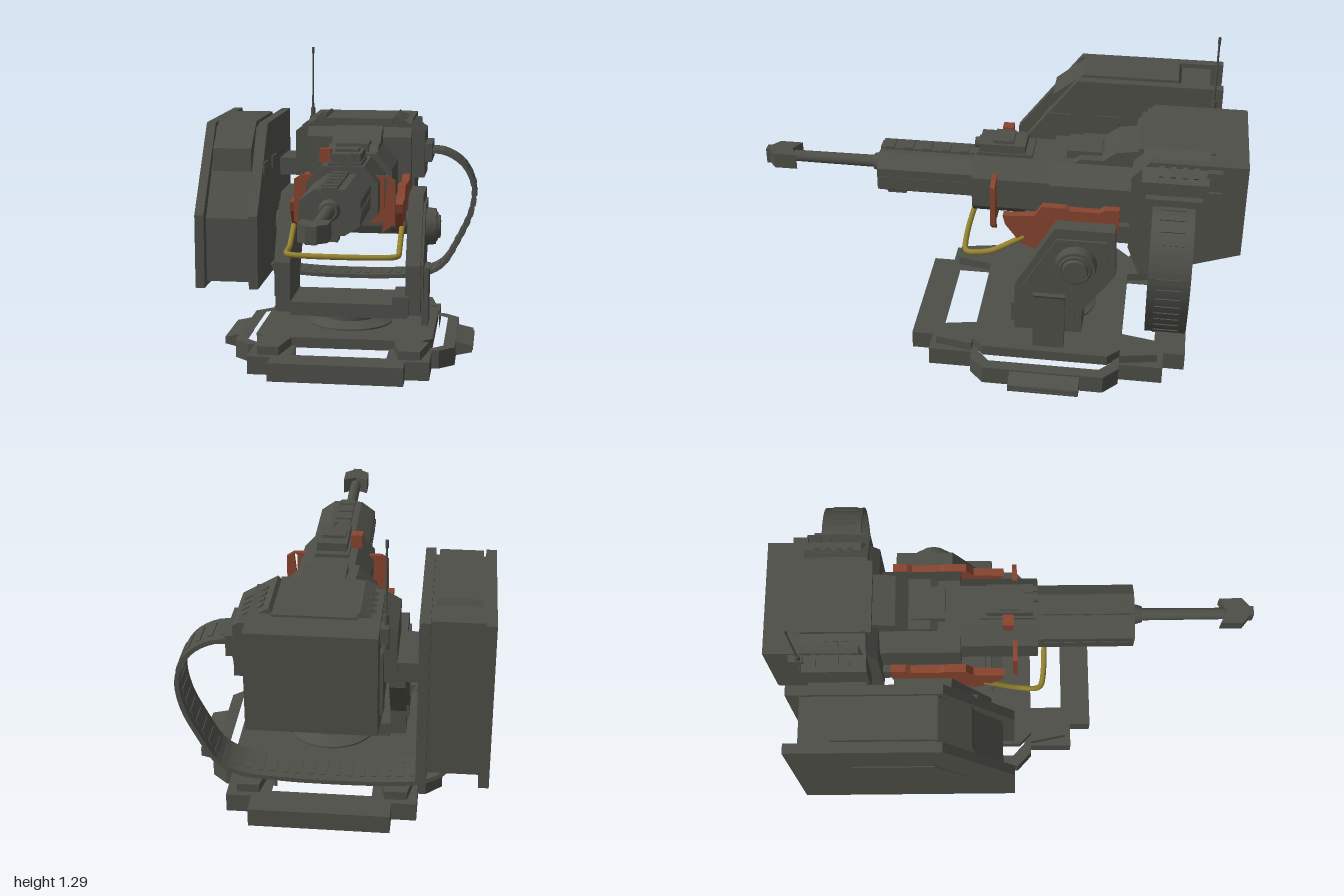
import * as THREE from 'three';

const CX = 0.0525, CZ = -0.235; // turret axis and base centre

export function createModel() {
  const root = new THREE.Group();
  root.name = 'mountedTurret';
  const mat = (name, color) => {
    const m = new THREE.MeshStandardMaterial({ color });
    m.name = name;
    return m;
  };
  const grey = mat('gunmetal grey', 0x4f4f49);
  const red = mat('rust red', 0x884530);
  const yellow = mat('handle yellow', 0x94822f);

  const add = (name, geo, m = grey) => {
    const mesh = new THREE.Mesh(geo, m);
    mesh.name = name;
    root.add(mesh);
    return mesh;
  };
  const box = (name, x0, x1, y0, y1, z0, z1, m) => add(name,
    new THREE.BoxGeometry(x1 - x0, y1 - y0, z1 - z0).translate((x0 + x1) / 2, (y0 + y1) / 2, (z0 + z1) / 2), m);
  const toShape = (pts, hole) => {
    const s = new THREE.Shape(pts.map(p => new THREE.Vector2(...p)));
    if (hole) s.holes.push(new THREE.Path(hole.map(p => new THREE.Vector2(...p))));
    return s;
  };
  const extrude = (pts, depth, hole) => new THREE.ExtrudeGeometry(toShape(pts, hole), { depth, bevelEnabled: false });
  // side profile (z, y) swept in x; plan (x, z) swept in y; front outline (x, y) swept in z
  const sweepX = (name, pts, x0, x1, m) => add(name, extrude(pts, x1 - x0).rotateY(-Math.PI / 2).translate(x1, 0, 0), m);
  const sweepY = (name, pts, y0, y1, hole) => add(name, extrude(pts, y1 - y0, hole).rotateX(Math.PI / 2).translate(0, y1, 0));
  const sweepZ = (name, pts, z0, z1, m) => add(name, extrude(pts, z1 - z0).translate(0, 0, z0), m);
  // mirror half an outline about the turret axis
  const mirrorX = half => [...half.map(([x, y]) => [CX + x, y]), ...half.slice().reverse().map(([x, y]) => [CX - x, y])];
  const mirrorXZ = q => {
    const half = [...q.map(([x, z]) => [x, CZ + z]).reverse(), ...q.map(([x, z]) => [x, CZ - z])];
    return mirrorX(half);
  };
  const cyl = (name, r0, r1, len, sides, axis, x, y, z, m) => {
    const g = new THREE.CylinderGeometry(r1, r0, len, sides);
    if (axis === 'x') g.rotateZ(-Math.PI / 2);
    if (axis === 'z') g.rotateX(Math.PI / 2);
    return add(name, g.translate(x, y, z), m);
  };

  // Base: notched frame, deck and corner blocks
  sweepY('baseFrame', mirrorXZ([[0.475, 0.25], [0.41, 0.31], [0.38, 0.31], [0.38, 0.49], [0.28, 0.49], [0.28, 0.58]]), 0, 0.078,
    mirrorXZ([[0.425, 0.23], [0.37, 0.28], [0.2, 0.31], [0.2, 0.45]]));
  sweepY('baseDeck', mirrorXZ([[0.38, 0.26], [0.33, 0.31]]), 0.07, 0.115);
  for (const sx of [-1, 1]) {
    for (const sz of [-1, 1]) {
      const block = [[0.22, 0.31], [0.37, 0.31], [0.34, 0.465], [0.25, 0.465]].map(([x, z]) => [CX + sx * x, CZ + sz * z]);
      sweepY('cornerBlock', block, 0.07, 0.115);
    }
    const xa = CX + sx * 0.47, xb = CX + sx * 0.545;
    sweepZ('sideStep', [[xa, 0.008], [xb, 0.025], [xb, 0.055], [xa, 0.072]], -0.39, -0.1);
    for (const y of [0.03, 0.045]) box('stepRib', xb - 0.004, xb + 0.004, y, y + 0.006, -0.37, -0.12);
  }

  // Turntable above the deck and its boss below
  const ring = new THREE.LatheGeometry([[0, 0.025], [0.09, 0.025], [0.15, 0.06], [0.15, 0.1], [0.185, 0.115], [0.185, 0.122],
    [0.13, 0.142], [0.12, 0.142], [0.12, 0.17], [0, 0.17]].map(p => new THREE.Vector2(...p)), 32);
  add('turntable', ring.toNonIndexed().translate(CX, 0, CZ)).geometry.computeVertexNormals();

  // Yoke: cross beam, two arms and bearings
  box('yokeBeam', -0.2, 0.31, 0.165, 0.225, -0.38, -0.1);
  box('yokeBeamFoot', CX - 0.17, CX + 0.17, 0.155, 0.18, -0.34, -0.13);
  box('beamClamp', 0.25, 0.32, 0.18, 0.265, -0.28, -0.08);
  const arm = [[-0.1, 0.18], [-0.1, 0.4], [-0.26, 0.685], [-0.5, 0.685], [-0.51, 0.48], [-0.38, 0.29], [-0.38, 0.18]];
  const armPad = [[-0.13, 0.24], [-0.13, 0.4], [-0.27, 0.64], [-0.47, 0.64], [-0.48, 0.5], [-0.35, 0.3], [-0.35, 0.24]];
  for (const s of [-1, 1]) {
    const xm = CX + s * 0.285;
    sweepX('yokeArm', arm, xm - 0.0325, xm + 0.0325);
    sweepX('armPlate', armPad, xm + s * 0.035 - 0.008, xm + s * 0.035 + 0.008);
    cyl('trunnion', 0.05, 0.05, 0.12, 20, 'x', CX + s * 0.23, 0.55, -0.35);
    const gusset = [[0.3, 0.26], [0.3, 0.375], [0.352, 0.375], [0.33, 0.32]].map(([x, y]) => [CX + s * x, y]);
    sweepZ('armGusset', gusset, -0.31, -0.18);
  }
  box('cableDuct', 0.37, 0.4, 0.11, 0.37, -0.31, -0.18);
  cyl('bearingCap', 0.087, 0.08, 0.055, 24, 'x', 0.395, 0.53, -0.35);
  cyl('bearingHub', 0.058, 0.05, 0.025, 24, 'x', 0.43, 0.53, -0.35);
  add('bearingRing', new THREE.TorusGeometry(0.06, 0.008, 6, 24).rotateY(Math.PI / 2).translate(0.423, 0.53, -0.35));
  cyl('bearingCap', 0.06, 0.07, 0.03, 24, 'x', -0.28, 0.53, -0.35);

  // Ammunition case on the right-hand side
  const flange = [[0, 0.3], [0, 0.62], [-0.28, 0.99], [-0.9, 0.99], [-0.9, 0.3]];
  const core = [[-0.05, 0.32], [-0.05, 0.6], [-0.3, 0.97], [-0.845, 0.97], [-0.845, 0.32]];
  sweepX('caseOuterPlate', flange, -0.6, -0.56);
  sweepX('caseInnerPlate', flange, -0.365, -0.325);
  sweepX('caseCore', core, -0.57, -0.35);
  sweepX('caseHump', [[-0.16, 0.79], [-0.17, 0.89], [-0.3, 0.995], [-0.71, 0.995], [-0.73, 0.95], [-0.73, 0.79]], -0.55, -0.38);
  sweepX('casePanel', [[-0.2, 0.48], [-0.2, 0.62], [-0.32, 0.78], [-0.65, 0.78], [-0.6, 0.48]], -0.604, -0.596);
  for (const z of [-0.2, -0.42]) box('caseLatch', -0.33, -0.318, 0.78, 0.83, z - 0.05, z + 0.05);
  box('caseLink', -0.34, -0.18, 0.71, 0.79, -0.84, -0.6);

  // Rear housing with sloped underside and an arched collar
  sweepX('rearHousing', [[-0.55, 0.57], [-0.6, 0.44], [-1, 0.575], [-1, 0.975], [-0.62, 0.975], [-0.55, 0.9]], CX - 0.24, CX + 0.24);
  sweepZ('housingCollar', mirrorX([[0.255, 0.71], [0.3, 0.71], [0.3, 0.92], [0.165, 0.998], [0.145, 0.975]])
    .concat(mirrorX([[0.22, 0.93], [0.255, 0.9]]).reverse()), -0.85, -0.59);
  box('housingLid', CX - 0.155, CX + 0.155, 0.96, 0.984, -0.87, -0.57);
  box('housingRearRim', CX - 0.27, CX + 0.27, 0.9, 0.96, -0.9, -0.84);
  box('rearCover', CX + 0.13, CX + 0.2, 0.84, 0.93, -1.0, -0.994);
  for (const s of [-1, 1]) {
    box('housingSidePlate', CX + s * 0.245 - 0.007, CX + s * 0.245 + 0.007, 0.6, 0.86, -0.9, -0.62);
    for (let i = 0; i < 4; i++) {
      const slat = box('coolingSlat', -0.05, 0.05, 0, 0.008, -0.01, 0.01);
      slat.position.set(CX + s * 0.234, 0.957, -0.8 + i * 0.045);
      slat.rotation.z = -s * 0.52;
    }
  }

  // Feed mouth and curved ammunition belt under the turret
  box('feedMouth', 0.34, 0.385, 0.78, 0.865, -0.83, -0.61);
  const path = new THREE.CatmullRomCurve3([[0.35, 0.825], [0.44, 0.82], [0.53, 0.765], [0.58, 0.66], [0.57, 0.54], [0.51, 0.4],
    [0.44, 0.285], [0.36, 0.242], [0.2, 0.225], [0.05, 0.221], [-0.2, 0.226], [-0.35, 0.245], [-0.43, 0.29], [-0.46, 0.35]]
    .map(([x, y]) => new THREE.Vector3(x, y, 0)));
  const outer = [], inner = [];
  for (let i = 0; i <= 60; i++) {
    const p = path.getPointAt(i / 60), t = path.getTangentAt(i / 60);
    outer.push([p.x - t.y * 0.009, p.y + t.x * 0.009]);
    inner.unshift([p.x + t.y * 0.009, p.y - t.x * 0.009]);
  }
  sweepZ('ammoBelt', outer.concat(inner), -0.805, -0.64);
  for (let i = 1; i < 34; i++) {
    const p = path.getPointAt(i / 34), t = path.getTangentAt(i / 34);
    const link = add('beltLink', new THREE.BoxGeometry(0.022, 0.026, 0.1));
    link.position.set(p.x, p.y, -0.722);
    link.rotation.z = Math.atan2(t.y, t.x);
  }

  // Receiver
  sweepZ('receiverRear', mirrorX([[0.13, 0.6], [0.18, 0.65], [0.18, 0.8], [0.11, 0.87]]), -0.6, -0.22);
  sweepZ('receiverFront', mirrorX([[0.11, 0.62], [0.15, 0.66], [0.15, 0.79], [0.09, 0.86]]), -0.25, 0.1);
  sweepX('receiverHump', [[-0.28, 0.85], [-0.34, 0.89], [-0.43, 0.89], [-0.48, 0.93], [-0.6, 0.95], [-0.6, 0.85]], CX - 0.11, CX + 0.11);
  box('topCover', CX - 0.07, CX + 0.07, 0.86, 0.905, -0.42, -0.28);
  box('cradle', CX - 0.21, CX + 0.21, 0.57, 0.65, -0.55, -0.12);

  // Sight on top of the receiver
  box('sightRail', CX - 0.06, CX + 0.08, 0.85, 0.875, -0.14, 0.09);
  box('sightBody', CX - 0.05, CX + 0.075, 0.87, 0.91, -0.11, 0.08);
  cyl('sightLens', 0.022, 0.022, 0.06, 16, 'z', CX + 0.028, 0.892, 0.07);
  box('sightCap', CX - 0.04, CX + 0.06, 0.905, 0.922, -0.06, 0.02);
  box('sightMarker', -0.055, -0.008, 0.86, 0.918, -0.045, 0, red);

  // Barrel shroud, rails, barrel and muzzle
  sweepZ('barrelShroud', mirrorX([[0.06, 0.65], [0.12, 0.69], [0.12, 0.785], [0.06, 0.83]]), 0.08, 0.5);
  box('lowerRail', CX - 0.035, CX + 0.035, 0.635, 0.66, 0.1, 0.5);
  box('foreFoot', CX - 0.03, CX + 0.03, 0.62, 0.65, 0.4, 0.48);
  box('upperRail', CX - 0.03, CX + 0.03, 0.82, 0.838, 0.1, 0.5);
  for (let i = 0; i < 5; i++) {
    const z = 0.13 + i * 0.078;
    box('railTooth', CX - 0.033, CX + 0.033, 0.83, 0.845, z, z + 0.035);
    for (const s of [-1, 1]) box('shroudPanel', CX + s * 0.12 - 0.004, CX + s * 0.12 + 0.004, 0.725, 0.75, z, z + 0.055);
  }
  cyl('barrelCollar', 0.045, 0.034, 0.04, 16, 'z', CX, 0.75, 0.515);
  cyl('barrel', 0.026, 0.024, 0.4, 16, 'z', CX, 0.75, 0.68);
  sweepY('muzzle', mirrorX([[0, 0.89], [0.055, 0.86], [0.055, 0.955], [0.012, 0.99]]), 0.717, 0.783);
  box('muzzleTip', CX - 0.02, CX + 0.02, 0.717, 0.783, 0.96, 1);

  // Red front brace and side guards
  const brace = mirrorX([[0.16, 0.565], [0.215, 0.61], [0.215, 0.79], [0.185, 0.81]])
    .concat([[CX - 0.17, 0.8], [CX - 0.17, 0.63], [CX - 0.15, 0.61], [CX + 0.15, 0.61], [CX + 0.17, 0.63], [CX + 0.17, 0.8], [CX + 0.185, 0.81]]);
  sweepZ('frontBrace', brace, -0.005, 0.015, red);
  const guard = [[-0.04, 0.68], [-0.17, 0.69], [-0.2, 0.735], [-0.29, 0.735], [-0.31, 0.725], [-0.43, 0.725], [-0.45, 0.74],
    [-0.51, 0.74], [-0.51, 0.64], [-0.27, 0.62], [-0.18, 0.525], [-0.11, 0.56], [-0.05, 0.64]];
  for (const s of [-1, 1]) {
    const x = CX + s * 0.225;
    sweepX('sideGuard', guard, x - 0.017, x + 0.017, red);
  }

  // Yellow handle
  const half = [[0.235, 0.585, -0.13], [0.235, 0.51, -0.01], [0.235, 0.497, 0.02], [0.235, 0.487, 0.1], [0.215, 0.485, 0.118]];
  const pts = [...half.map(([x, y, z]) => new THREE.Vector3(CX - x, y, z)),
    ...half.slice().reverse().map(([x, y, z]) => new THREE.Vector3(CX + x, y, z))];
  const bar = new THREE.CatmullRomCurve3(pts, false, 'centripetal');
  add('handle', new THREE.TubeGeometry(bar, 70, 0.012, 10), yellow);

  // Antenna
  cyl('antennaBase', 0.014, 0.01, 0.14, 10, 'y', -0.205, 0.93, -0.86);
  cyl('antennaMast', 0.005, 0.004, 0.3, 8, 'y', -0.205, 1.14, -0.86);
  cyl('antennaTip', 0.006, 0.006, 0.03, 8, 'y', -0.205, 1.275, -0.86);

  return root;
}
